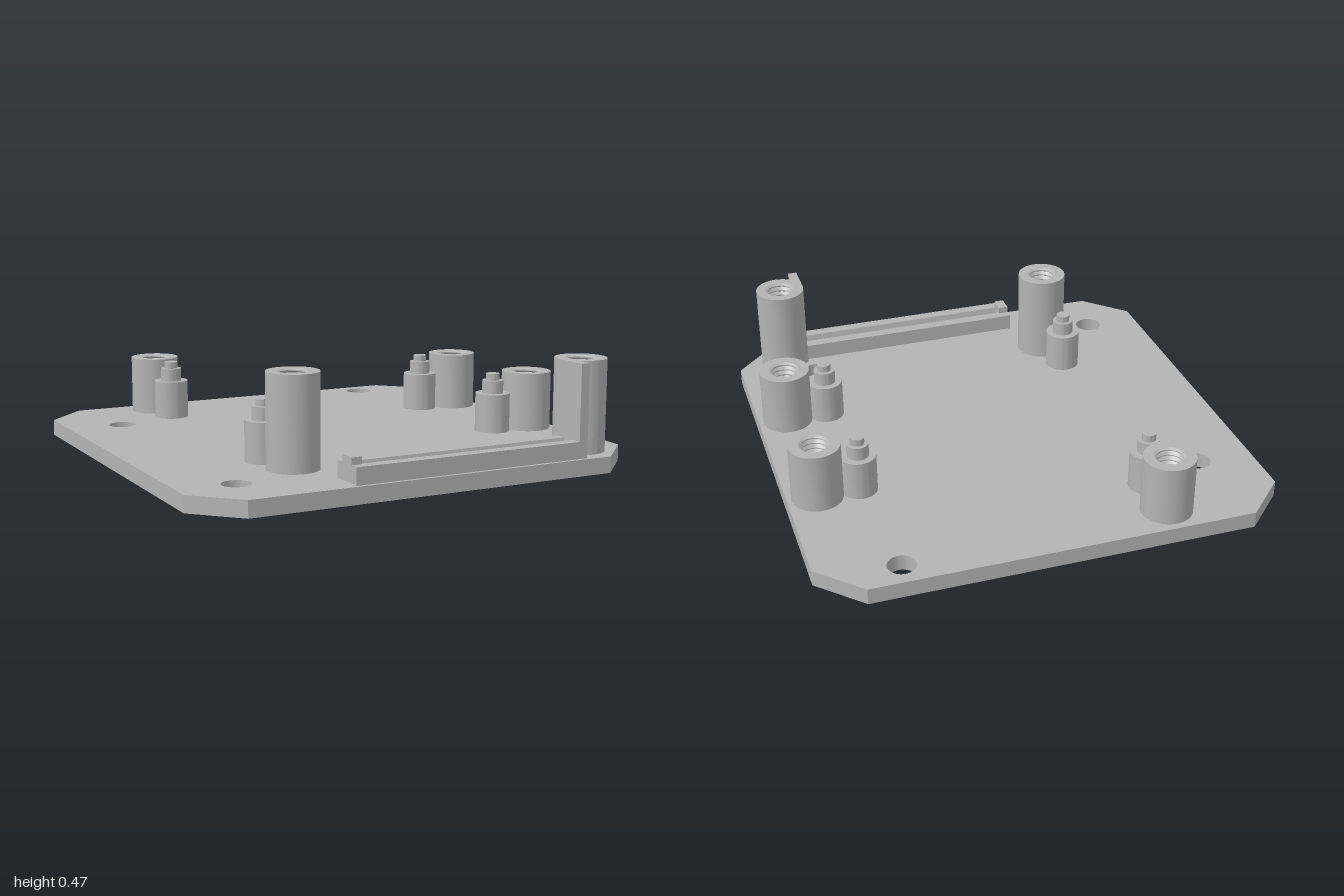
import * as THREE from 'three';
import { toCreasedNormals } from 'three/addons/utils/BufferGeometryUtils.js';

const BASE = 0.07; // plate thickness
const grey = new THREE.MeshStandardMaterial({ color: 0xb4b4b4 });
grey.name = 'grey plastic';

export function createModel() {
  const model = new THREE.Group();
  model.name = 'mountingPlate';

  const add = (name, geometry, x = 0, y = 0, z = 0) => {
    const mesh = new THREE.Mesh(geometry, grey);
    mesh.name = name;
    mesh.position.set(x, y, z);
    model.add(mesh);
    return mesh;
  };
  const turned = (profile) => toCreasedNormals(
    new THREE.LatheGeometry(profile.map(([r, y]) => new THREE.Vector2(r, y)), 48), 0.5);
  const box = (name, x0, x1, y0, y1, z0, z1) => add(name,
    new THREE.BoxGeometry(x1 - x0, y1 - y0, z1 - z0),
    (x0 + x1) / 2, (y0 + y1) / 2, (z0 + z1) / 2);

  // Plate with clipped corners and four through holes (shape y becomes -z)
  const c = 0.82;
  const plate = new THREE.Shape([
    [-c, -1], [c, -1], [1, -c], [1, c], [c, 1], [-c, 1], [-1, c], [-1, -c],
  ].map(([x, y]) => new THREE.Vector2(x, y)));
  for (const [x, z] of [[-0.75, -0.57], [0.655, -0.89], [-0.755, 0.745], [0.655, 0.71]]) {
    plate.holes.push(new THREE.Path().absarc(x, -z, 0.06, 0, Math.PI * 2, true));
  }
  const plateGeometry = new THREE.ExtrudeGeometry(plate,
    { depth: BASE, bevelEnabled: false, curveSegments: 32 });
  plateGeometry.rotateX(-Math.PI / 2);
  add('basePlate', toCreasedNormals(plateGeometry, 0.5));

  // Screw posts with a threaded bore
  const R = 0.11;
  function post(name, x, z, bottom, top) {
    const profile = [[R, bottom], [R, top], [0.065, top]];
    const pitch = 0.024;
    let y = top - 0.006;
    for (; y - pitch > BASE + 0.07; y -= pitch) {
      profile.push([0.055, y], [0.055, y - 0.005], [0.066, y - pitch / 2]);
    }
    profile.push([0.055, y], [0.055, BASE + 0.066], [0, BASE + 0.066]);
    add(name, turned(profile), x, 0, z);
  }
  post('backPost', -0.48, -0.86, BASE, 0.33);
  post('sidePostBack', 0.87, -0.33, BASE, 0.33);
  post('sidePostFront', 0.87, 0.31, BASE, 0.33);
  post('tallPostRight', -0.45, 0.61, BASE, 0.465);
  post('tallPostLeft', 0.78, 0.83, BASE + 0.06, 0.465);

  // Foot of the left tall post, cut back around the neighbouring hole
  const toHole = Math.atan2(0.12, -0.125), gap = Math.hypot(0.125, 0.12), cut = 0.093;
  const foot = [];
  for (let i = 0; i < 72; i++) {
    const a = i / 72 * Math.PI * 2, d = a - toHole;
    const inside = cut * cut - (gap * Math.sin(d)) ** 2;
    const r = Math.cos(d) > 0 && inside > 0
      ? Math.min(R, gap * Math.cos(d) - Math.sqrt(inside)) : R;
    foot.push(new THREE.Vector2(r * Math.cos(a), r * Math.sin(a)));
  }
  const footGeometry = new THREE.ExtrudeGeometry(new THREE.Shape(foot),
    { depth: 0.06, bevelEnabled: false });
  footGeometry.rotateX(-Math.PI / 2);
  add('tallPostLeftFoot', toCreasedNormals(footGeometry, 0.5), 0.78, BASE, 0.83);

  // Stepped locating pegs
  const pegGeometry = turned([[0.077, BASE], [0.077, 0.242], [0.047, 0.242], [0.047, 0.3],
    [0.03, 0.3], [0.03, 0.33], [0, 0.33]]);
  for (const [x, z] of [[-0.47, -0.67], [0.69, -0.33], [0.69, 0.31], [-0.495, 0.425]]) {
    add('locatingPeg', pegGeometry, x, 0, z);
  }

  // Grooved rail along the front edge, extruded along x
  const rail = new THREE.Shape([
    [0.83, BASE], [0.985, BASE], [0.985, 0.142], [0.935, 0.142],
    [0.925, 0.1], [0.89, 0.1], [0.88, 0.142], [0.83, 0.142],
  ].map(([z, y]) => new THREE.Vector2(-z, y)));
  const railGeometry = new THREE.ExtrudeGeometry(rail, { depth: 1.035, bevelEnabled: false });
  railGeometry.rotateY(Math.PI / 2);
  add('groovedRail', railGeometry, -0.365);

  // Rail ends: low stop and tall wall
  box('railStop', -0.365, -0.32, 0.1, 0.172, 0.87, 0.945);
  box('railEndWall', 0.67, 0.71, BASE, 0.465, 0.83, 0.985);

  return model;
}
